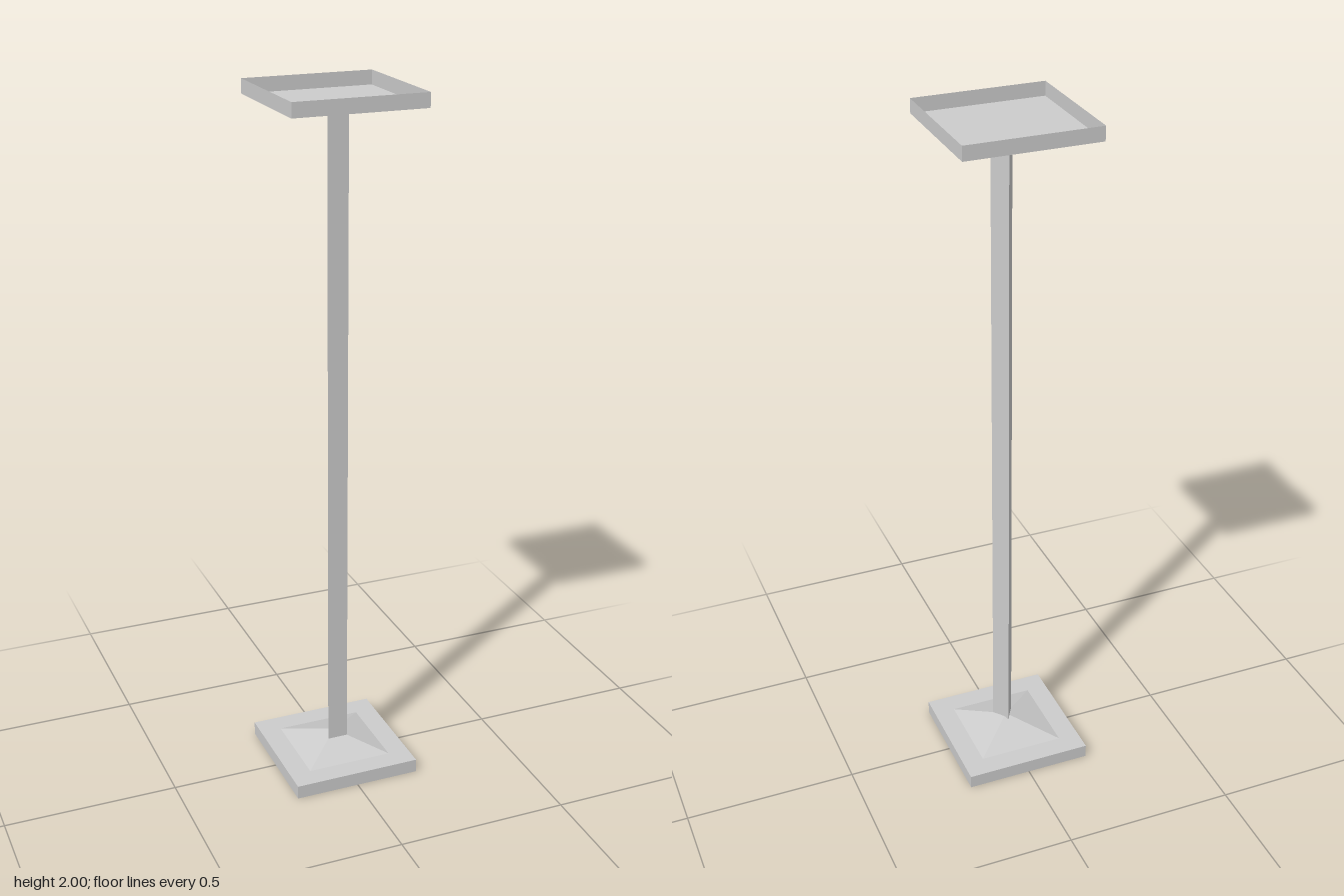
import * as THREE from 'three';

const HALF = 0.187;   // tray half width
const WALL = 0.04;    // tray height
const TOTAL = 2;

export function createModel() {
  const group = new THREE.Group();
  const grey = new THREE.MeshStandardMaterial({ color: 0xcccccc, side: THREE.DoubleSide, flatShading: true });
  grey.name = 'grey';

  const add = (parent, name, geometry) => {
    const mesh = new THREE.Mesh(geometry, grey);
    mesh.name = name;
    parent.add(mesh);
    return mesh;
  };

  // Thin-walled square tray, open downwards, with a low pyramid on its plate
  const makeEnd = (name) => {
    const end = new THREE.Group();
    end.name = name;
    add(end, 'trayPlate', new THREE.PlaneGeometry(HALF * 2, HALF * 2).rotateX(-Math.PI / 2).translate(0, WALL, 0));
    for (let i = 0; i < 4; i++) {
      add(end, 'trayWall', new THREE.PlaneGeometry(HALF * 2, WALL)
        .translate(0, WALL / 2, HALF).rotateY(i * Math.PI / 2));
    }
    const rise = 0.042;
    add(end, 'pyramid', new THREE.ConeGeometry(0.125 * Math.SQRT2, rise, 4, 1, true)
      .rotateY(Math.PI / 4).translate(0, WALL + rise / 2, 0));
    return end;
  };

  const base = makeEnd('base');
  const top = makeEnd('topTray');
  top.rotation.x = Math.PI;
  top.position.y = TOTAL;
  group.add(base, top);

  // Three-sided post with its flat face to the front
  const section = new THREE.Shape([
    new THREE.Vector2(-0.03, -0.03),
    new THREE.Vector2(0.03, -0.03),
    new THREE.Vector2(0, 0.023),
  ]);
  const length = TOTAL - 2 * (WALL + 0.01);
  add(group, 'post', new THREE.ExtrudeGeometry(section, { depth: length, bevelEnabled: false })
    .rotateX(-Math.PI / 2).translate(0, WALL + 0.01, 0));

  return group;
}
